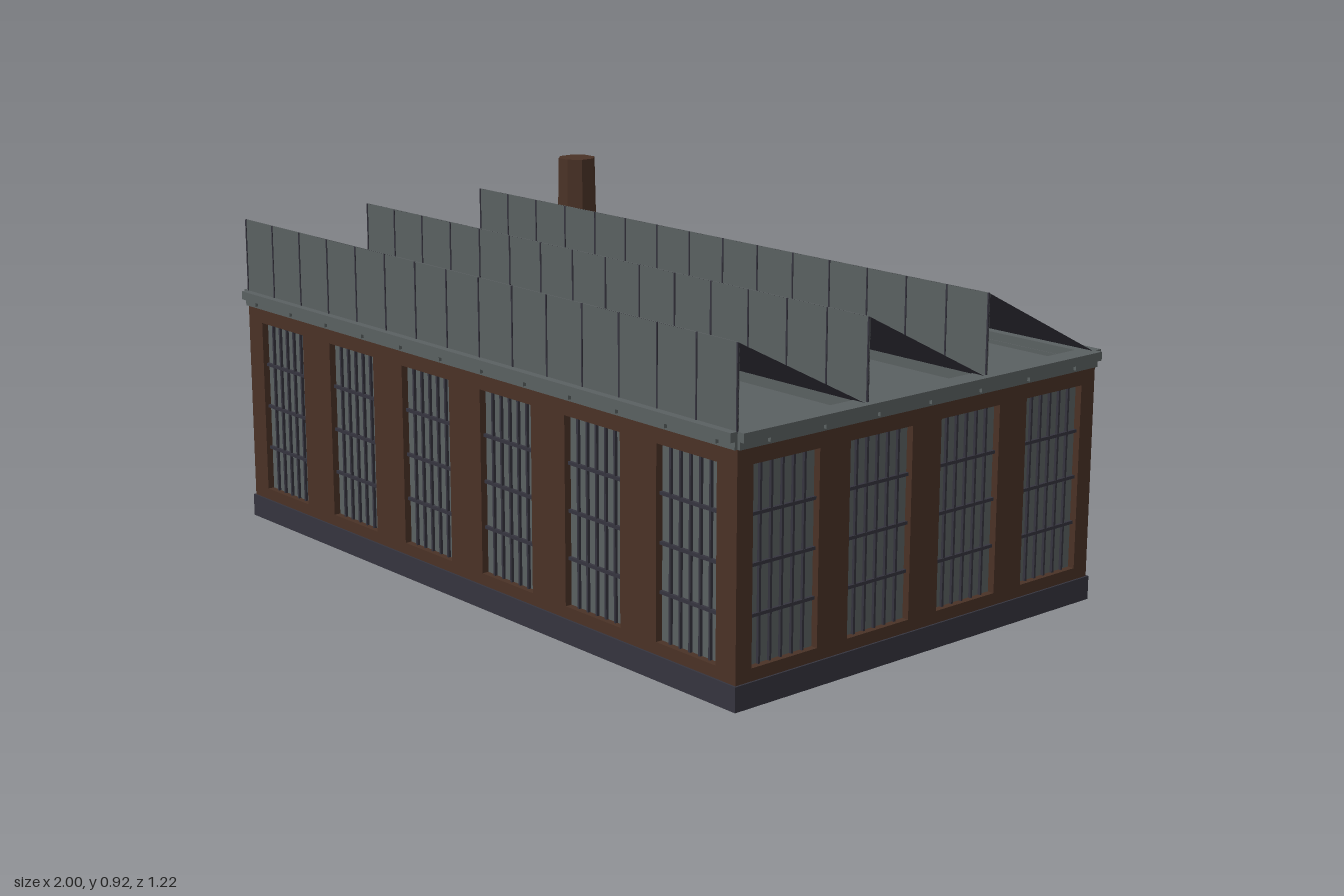
import * as THREE from 'three';

const mat = (name, color) => {
  const m = new THREE.MeshStandardMaterial({ color });
  m.name = name;
  return m;
};

export function createModel() {
  const brick = mat('brick', 0x4a3226);
  const grey = mat('paleGrey', 0x5a6061);
  const slate = mat('slate', 0x35343e);

  const root = new THREE.Group();
  root.name = 'factory';
  const X = 0.98, Z = 0.59, WALL = 0.6, EAVE = 0.63, RIDGE = 0.83;
  const SILL = 0.09, HEAD = 0.555;

  const add = (parent, name, geo, material, x = 0, y = 0, z = 0) => {
    const m = new THREE.Mesh(geo, material);
    m.name = name;
    m.position.set(x, y, z);
    parent.add(m);
    return m;
  };
  const box = (parent, name, w, h, d, material, x, y, z) =>
    add(parent, name, new THREE.BoxGeometry(w, h, d), material, x, y, z);

  // A wall with pierced openings, recessed glass and glazing bars; outside faces local +z.
  // openings: [from, to]; grids: [centre, number of upright bars, number of cross bars]
  function wall(name, half, out, turn, openings, grids) {
    const g = new THREE.Group();
    g.name = name;
    const shape = new THREE.Shape();
    shape.moveTo(-half, 0).lineTo(half, 0).lineTo(half, WALL).lineTo(-half, WALL).closePath();
    for (const [a, b] of openings) {
      const hole = new THREE.Path();
      hole.moveTo(a, SILL).lineTo(a, HEAD).lineTo(b, HEAD).lineTo(b, SILL).closePath();
      shape.holes.push(hole);
      box(g, 'windowGlass', b - a, HEAD - SILL, 0.006, grey, (a + b) / 2, (SILL + HEAD) / 2, out - 0.021);
    }
    const brickwork = new THREE.ExtrudeGeometry(shape, { depth: 0.028, bevelEnabled: false });
    add(g, 'brickwork', brickwork, brick, 0, 0, out - 0.028);
    for (const [c, uprights, crossbars] of grids) {
      for (let i = 1; i <= uprights; i++)
        box(g, 'windowBar', 0.006, HEAD - SILL, 0.008, slate,
          c - 0.1 + 0.2 * i / (uprights + 1), (SILL + HEAD) / 2, out - 0.015);
      for (let i = 1; i <= crossbars; i++)
        box(g, 'windowCrossbar', 0.2, 0.008, 0.008, slate,
          c, SILL + (HEAD - SILL) * i / (crossbars + 1), out - 0.014);
    }
    // Plinth along the foot of the wall
    box(g, 'plinth', half * 2 + 0.01, 0.06, 0.005, slate, 0, 0.03, out + 0.0025);

    // Stepped cornice with small brackets
    box(g, 'corniceLower', half * 2, 0.02, 0.045, grey, 0, 0.605, out - 0.0145);
    box(g, 'corniceUpper', half * 2, 0.022, 0.055, grey, 0, 0.624, out - 0.0075);
    const n = Math.round(half * 2 / 0.168);
    for (let i = 0; i < n; i++)
      box(g, 'corniceBracket', 0.008, 0.014, 0.008, grey,
        (i - (n - 1) / 2) * 0.168, 0.608, out + 0.012);
    g.rotation.y = turn;
    root.add(g);
  }

  const single = (c) => [c - 0.1, c + 0.1];
  const longBays = [0, 1, 2, 3, 4, 5].map((i) => (i - 2.5) * 0.326);
  const shortBays = [0, 1, 2, 3].map((i) => (i - 1.5) * 0.295);
  wall('frontWall', X, Z, 0, longBays.map(single), longBays.map((c) => [c, 5, 3]));
  wall('leftWall', Z, X, Math.PI / 2, shortBays.map(single), shortBays.map((c) => [c, 5, 3]));
  // The back and right walls have wide openings that join several bays
  wall('backWall', X, Z, Math.PI,
    [[-0.915, -0.063], [0.063, 0.589], single(0.815)],
    [[-0.815, 5, 3], [-0.489, 5, 3], [-0.163, 1, 0], [0.163, 5, 0], [0.489, 1, 0], [0.815, 5, 0]]);
  wall('rightWall', Z, X, -Math.PI / 2,
    [[-0.543, 0.248], single(0.443)],
    [[-0.443, 2, 1], [-0.148, 2, 1], [0.148, 2, 0]]);

  // Floor and roof deck
  box(root, 'floor', 1.92, 0.01, 1.14, grey, 0, 0.008, 0);
  box(root, 'roofDeck', 1.92, 0.01, 1.14, grey, 0, 0.6, 0);

  // Sawtooth roof: upright glazing at the front of each tooth, slope falling to the back
  const run = Z * 2 / 3, rise = RIDGE - EAVE;
  const slopeLength = Math.hypot(run, rise), tilt = Math.atan2(rise, run);
  for (let t = 0; t < 3; t++) {
    const tooth = new THREE.Group();
    tooth.name = 'roofTooth';
    tooth.position.z = Z - t * run;
    root.add(tooth);
    box(tooth, 'roofGlazing', X * 2, RIDGE - 0.605, 0.003, grey, 0, (RIDGE + 0.605) / 2, -0.002);
    for (let i = 0; i <= 15; i++)
      box(tooth, 'glazingBar', 0.004, rise, 0.005, slate,
        (i / 15 - 0.5) * (X * 2 - 0.004), (RIDGE + EAVE) / 2, -0.001);
    for (const flip of [0, Math.PI]) {
      const sheet = new THREE.PlaneGeometry(X * 2, slopeLength)
        .rotateY(flip).rotateX(-Math.PI / 2 - tilt);
      // Local up of the sheet points towards the low eave
      add(tooth, flip ? 'slopeUnderside' : 'roofSlope', sheet, slate, 0, (RIDGE + EAVE) / 2, -run / 2);
    }
    const tri = new THREE.Shape();
    tri.moveTo(-run, EAVE).lineTo(0, EAVE).lineTo(0, RIDGE).closePath();
    add(tooth, 'gable', new THREE.ShapeGeometry(tri).rotateY(-Math.PI / 2), slate, -X, 0, 0);
  }

  // Tapered eight-sided chimney running down to the ground
  const stack = new THREE.CylinderGeometry(0.054, 0.074, 0.917, 8).toNonIndexed();
  stack.rotateY(Math.PI / 8);
  stack.computeVertexNormals();
  add(root, 'chimney', stack, brick, -0.82, 0.4585, -0.428);

  return root;
}
